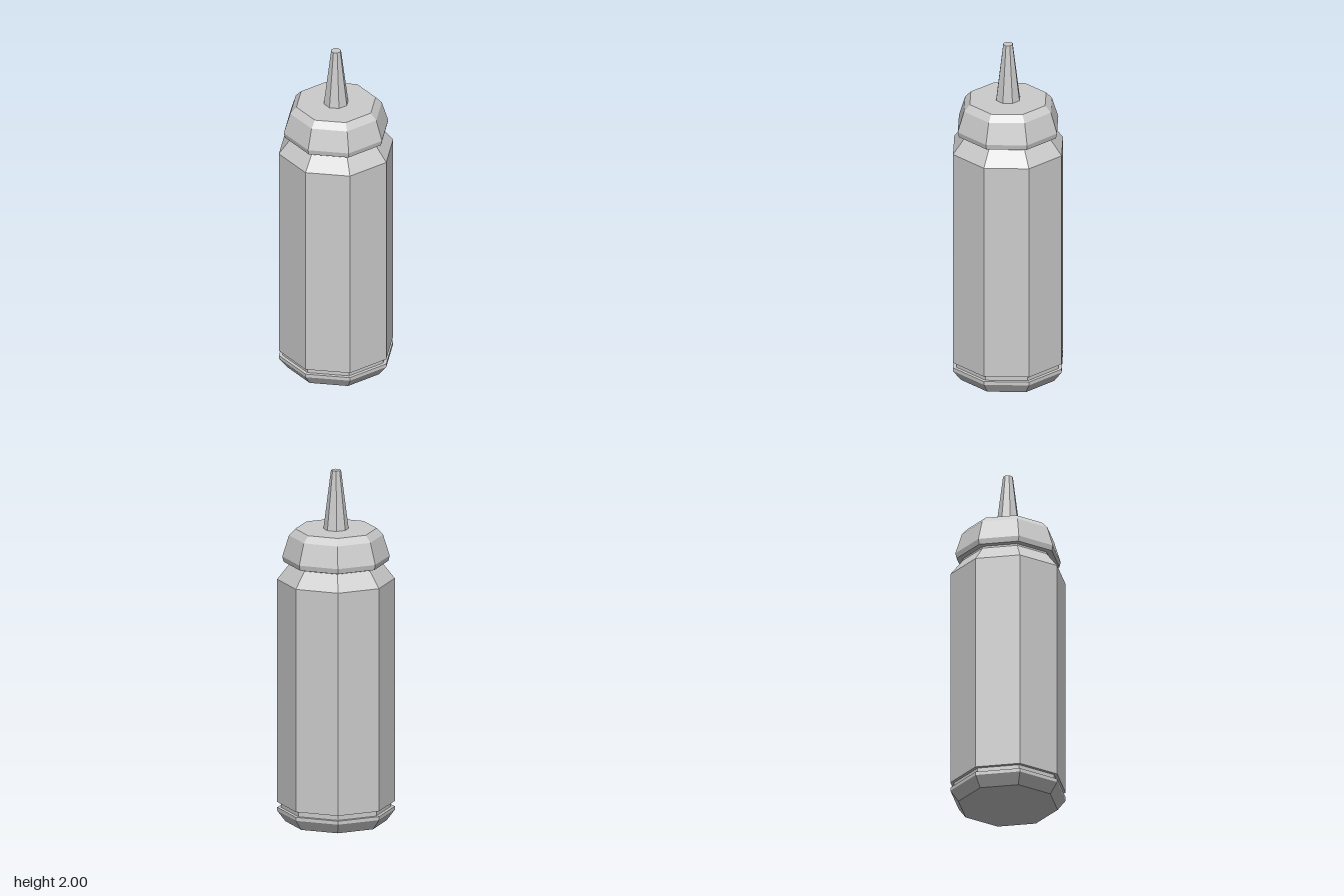
import * as THREE from 'three';

const SIDES = 8;

export function createModel() {
  const group = new THREE.Group();
  group.name = 'squeezeBottle';
  const material = new THREE.MeshStandardMaterial({ color: 0xcccccc, flatShading: true });

  // Eight-sided turned part; profile is [radius, height] from bottom to top
  function turned(name, profile) {
    const points = profile.map(([r, y]) => new THREE.Vector2(r, y));
    const mesh = new THREE.Mesh(new THREE.LatheGeometry(points, SIDES), material);
    mesh.name = name;
    group.add(mesh);
  }

  // Bottle: chamfered foot, thin groove, straight wall, shoulder and neck
  turned('bottle', [
    [0, 0], [0.28, 0], [0.325, 0.06], [0.325, 0.08],
    [0.305, 0.08], [0.305, 0.11], [0.325, 0.11],
    [0.325, 1.38], [0.255, 1.47], [0.255, 1.49],
  ]);

  // Screw cap with a lower rim and bevelled top
  turned('cap', [
    [0.25, 1.48], [0.29, 1.48], [0.297, 1.51],
    [0.26, 1.63], [0.225, 1.667], [0, 1.667],
  ]);

  // Tapered nozzle
  turned('nozzle', [[0.07, 1.665], [0.028, 2], [0, 2]]);

  return group;
}
